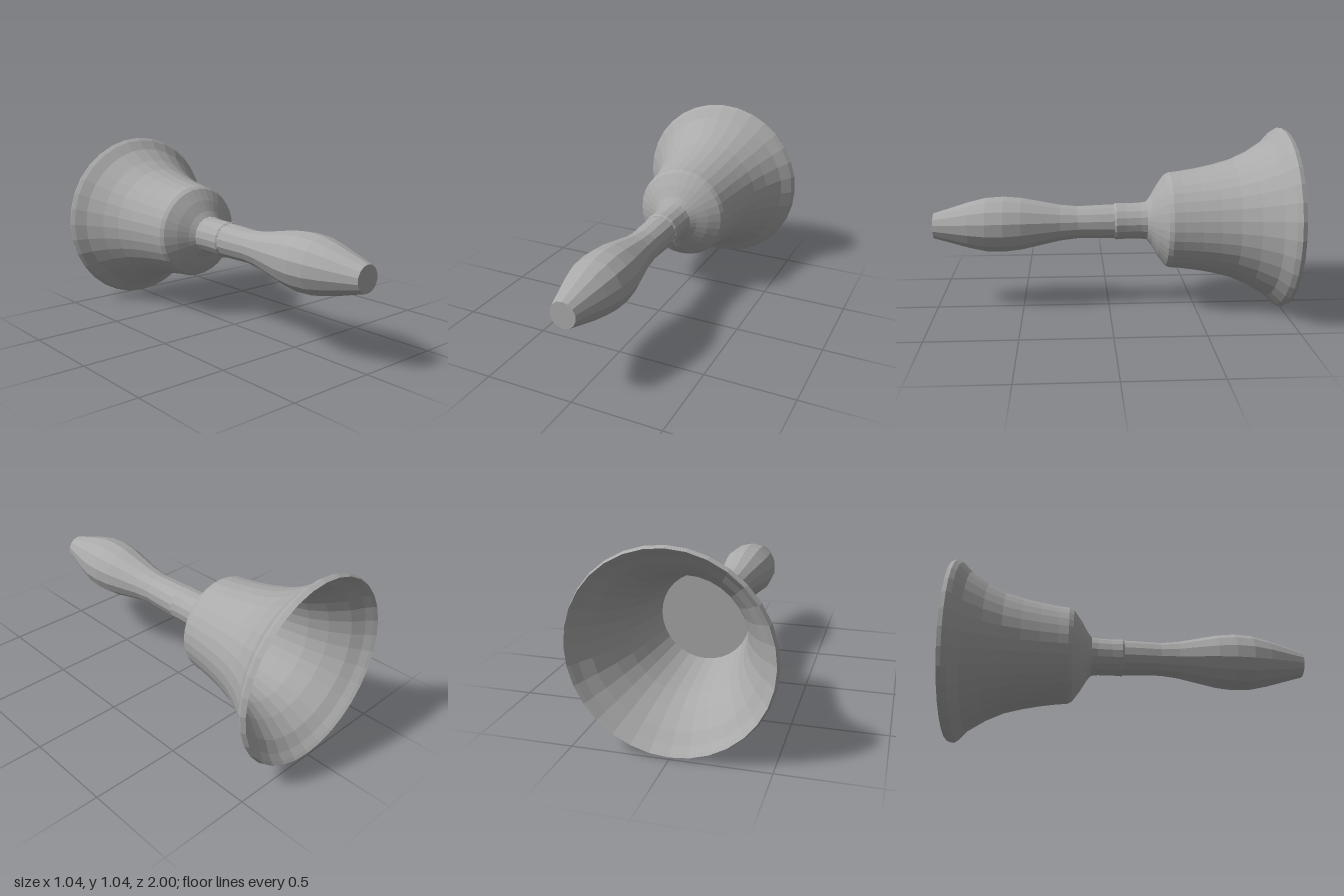
import * as THREE from 'three';

const metal = new THREE.MeshStandardMaterial({ color: 0xaaaaaa, flatShading: true });
metal.name = 'plain grey';

// Turns a [radius, z] profile about the z axis, leaning slightly along its length
function turned(name, profile, sides) {
  const points = profile.map(([r, z]) => new THREE.Vector2(r, z));
  const geometry = new THREE.LatheGeometry(points, sides);
  geometry.rotateX(Math.PI / 2);
  const p = geometry.attributes.position;
  for (let i = 0; i < p.count; i++) {
    const t = (p.getZ(i) + 1) / 2;
    p.setX(i, p.getX(i) - 0.02 * t);
    p.setY(i, p.getY(i) + 0.52 - 0.03 * t);
  }
  geometry.computeVertexNormals();
  const mesh = new THREE.Mesh(geometry, metal);
  mesh.name = name;
  return mesh;
}

export function createModel() {
  const group = new THREE.Group();
  group.name = 'handBell';

  // Hollow bell: inner floor, inner wall, rim, then outer wall up to the shoulder
  group.add(turned('bell', [
    [0, -0.38], [0.24, -0.38], [0.265, -0.5], [0.285, -0.6], [0.31, -0.7],
    [0.355, -0.8], [0.42, -0.9], [0.47, -0.95], [0.495, -0.985],
    [0.508, -1], [0.518, -0.975], [0.503, -0.95], [0.45, -0.9], [0.387, -0.8],
    [0.342, -0.7], [0.315, -0.6], [0.295, -0.5], [0.28, -0.4], [0.275, -0.345],
    [0.262, -0.32], [0.2, -0.275], [0.14, -0.24], [0.108, -0.215], [0, -0.215],
  ], 32));

  // Collar between bell and handle
  group.add(turned('collar', [
    [0, -0.23], [0.112, -0.23], [0.105, -0.18], [0.103, -0.1], [0.106, -0.04],
    [0.1, -0.03], [0, -0.03],
  ], 16));

  // Swelling grip with a flat end
  group.add(turned('handle', [
    [0, -0.06], [0.1, -0.06], [0.098, 0.05], [0.094, 0.18], [0.105, 0.28],
    [0.13, 0.4], [0.151, 0.5], [0.161, 0.6], [0.156, 0.7], [0.133, 0.8],
    [0.1, 0.91], [0.076, 0.99], [0.073, 1], [0, 1],
  ], 14));

  return group;
}
